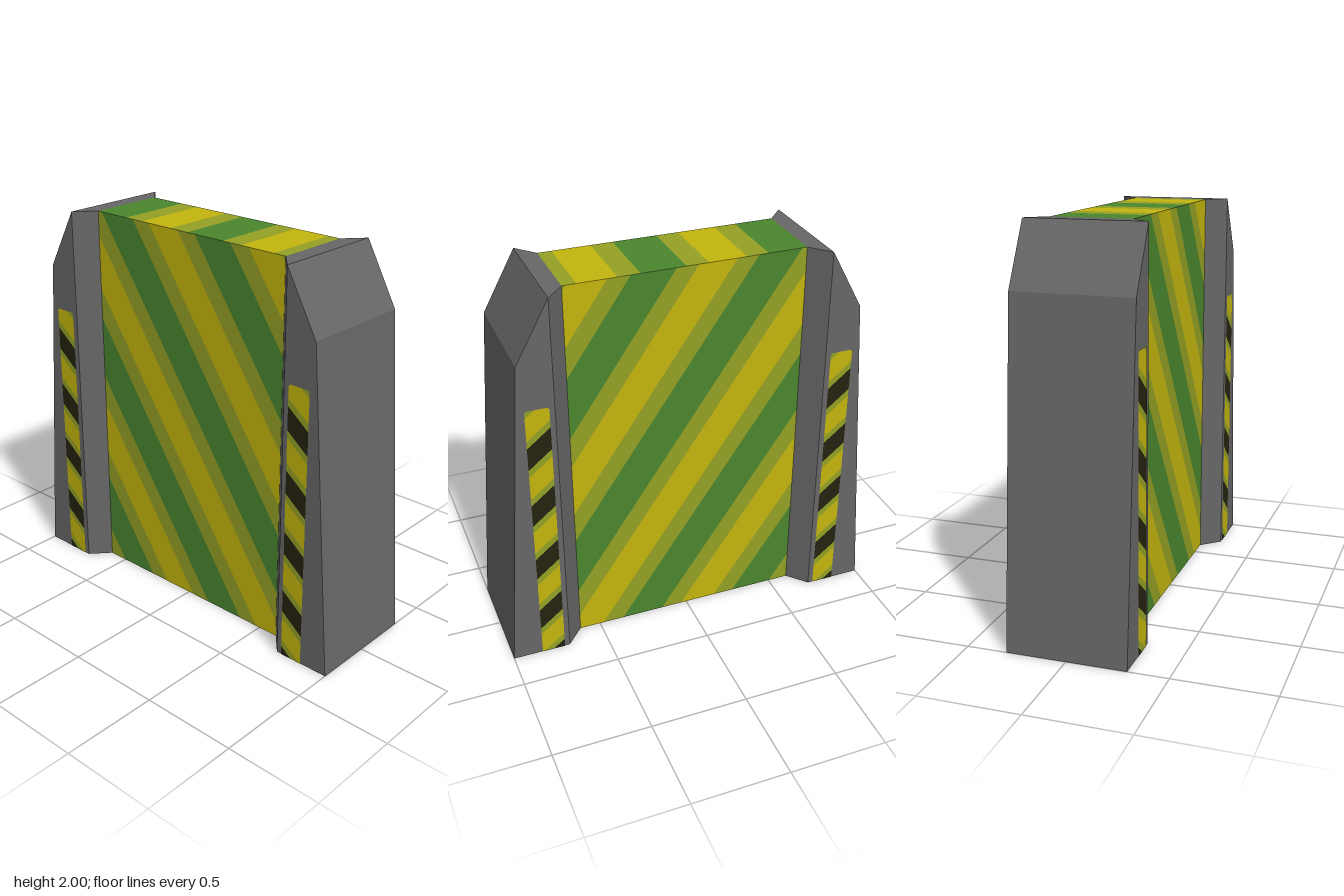
import * as THREE from 'three';

const flat = (name, color) => Object.assign(new THREE.MeshStandardMaterial({ color }), { name });
const grey = flat('concrete grey', 0x676767);
const yellow = flat('stripe yellow', 0xc4b60e);
const green = flat('stripe green', 0x4a862e);
const olive = flat('stripe olive', 0x94a024);
const black = flat('hazard black', 0x24220f);

// Bands across a stripe direction: [start, end, material], repeated every period
const panelBands = {
  period: 0.643,
  bands: [[-0.479, -0.367, olive], [-0.367, -0.142, green], [-0.142, -0.03, olive], [-0.03, 0.164, yellow]],
};
const hazardBands = {
  period: 0.325,
  bands: [[-0.06, 0.06, black], [0.06, 0.1, olive], [0.1, 0.225, yellow], [0.225, 0.265, olive]],
};

// Keep the part of a convex polygon where f >= 0
function clip(points, f) {
  const out = [];
  points.forEach((p, i) => {
    const q = points[(i + 1) % points.length];
    const a = f(p), b = f(q);
    if (a >= 0) out.push(p);
    if (a * b < 0) out.push(p.clone().lerp(q, a / (a - b)));
  });
  return out;
}

// Flat face in the xy plane, cut into coloured bands along c = a*x + b*y + d
function stripedFace(name, outline, { period, bands }, a, b, d) {
  const face = new THREE.Group();
  face.name = name;
  const points = outline.map(([x, y]) => new THREE.Vector2(x, y));
  const c = (p) => a * p.x + b * p.y + d;
  const values = points.map(c);
  const first = Math.floor(Math.min(...values) / period) - 1;
  const last = Math.ceil(Math.max(...values) / period) + 1;
  for (let k = first; k <= last; k++) {
    for (const [start, end, material] of bands) {
      const lo = start + k * period, hi = end + k * period;
      const piece = clip(clip(points, (p) => c(p) - lo), (p) => hi - c(p));
      if (piece.length < 3 || Math.abs(THREE.ShapeUtils.area(piece)) < 1e-6) continue;
      const mesh = new THREE.Mesh(new THREE.ShapeGeometry(new THREE.Shape(piece)), material);
      mesh.name = 'stripe';
      face.add(mesh);
    }
  }
  return face;
}

const extrude = (points, depth) => new THREE.ExtrudeGeometry(
  new THREE.Shape(points.map(([x, y]) => new THREE.Vector2(x, y))), { depth, bevelEnabled: false });

// Tapered end pillar with a narrowing neck that meets the panel
function pillar(end) {
  const group = new THREE.Group();
  group.name = end > 0 ? 'frontPillar' : 'backPillar';

  const body = new THREE.Mesh(
    extrude([[-1, 0], [-0.7, 0], [-0.7, 2], [-0.87, 1.69]], 0.6).translate(0, 0, -0.3).rotateY(Math.PI / 2), grey);
  body.name = 'pillarBody';

  const neck = new THREE.Mesh(
    extrude([[-0.3, -0.7], [0.3, -0.7], [0.2, -0.61], [-0.2, -0.61]], 2).rotateX(-Math.PI / 2), grey);
  neck.name = 'pillarNeck';

  group.add(body, neck);
  if (end < 0) group.rotation.y = Math.PI;
  return group;
}

export function createModel() {
  const model = new THREE.Group();
  model.name = 'stripedBarrier';
  model.add(pillar(1), pillar(-1));

  for (const side of [1, -1]) {
    // Large slanted panel on each side
    const panel = stripedFace(side > 0 ? 'leftPanel' : 'rightPanel',
      [[-0.61, 0], [0.61, 0], [0.61, 2], [-0.61, 2]], panelBands, side, -1 / 1.46, 0);
    panel.rotation.y = side * Math.PI / 2;
    panel.position.x = side * 0.2;
    model.add(panel);

    // Hazard strips on the pillar sides, with clipped top corners
    for (const end of [1, -1]) {
      const strip = stripedFace('hazardStrip',
        [[-0.06, 0], [0.06, 0], [0.06, 1.445], [0.05, 1.455], [-0.05, 1.455], [-0.06, 1.445]],
        hazardBands, -0.8 * side, 1, -1.24);
      strip.rotation.y = side * Math.PI / 2;
      strip.position.set(side * 0.302, 0, end * 0.787);
      model.add(strip);
    }

    // Narrow top and bottom of the panel
    const cap = stripedFace(side > 0 ? 'panelTop' : 'panelBottom',
      [[-0.2, -0.61], [0.2, -0.61], [0.2, 0.61], [-0.2, 0.61]], panelBands, 0, side, -0.132);
    cap.rotation.x = -side * Math.PI / 2;
    cap.position.y = side > 0 ? 2 : 0;
    model.add(cap);
  }
  return model;
}
